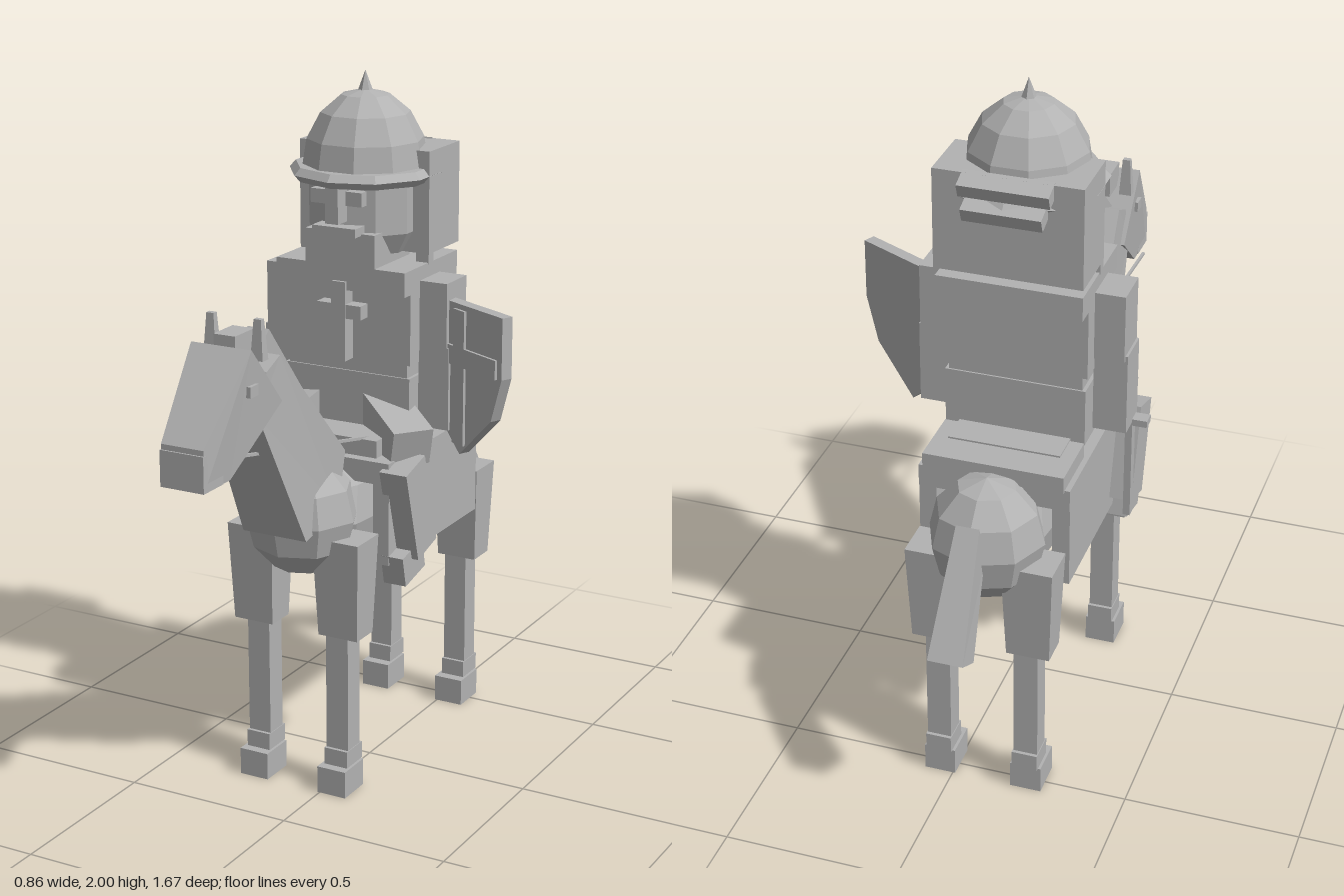
import * as THREE from 'three';

const stone = new THREE.MeshStandardMaterial({ color: 0xb2b2b2, flatShading: true });
stone.name = 'plain grey';

export function createModel() {
  const model = new THREE.Group();
  model.name = 'mountedKnight';
  // Everything is symmetric about the horse, which stands a little to the right
  const body = new THREE.Group();
  body.name = 'horseAndRider';
  body.position.x = -0.09;
  model.add(body);

  const add = (name, geo, x = 0, y = 0, z = 0, parent = body) => {
    const m = new THREE.Mesh(geo, stone);
    m.name = name;
    m.position.set(x, y, z);
    parent.add(m);
    return m;
  };
  // Box given by its limits
  const block = (name, x0, x1, y0, y1, z0, z1) =>
    add(name, new THREE.BoxGeometry(x1 - x0, y1 - y0, z1 - z0), (x0 + x1) / 2, (y0 + y1) / 2, (z0 + z1) / 2);
  const ball = (name, y, z, rx, ry, rz, seg = 8, rings = 6) =>
    add(name, new THREE.SphereGeometry(1, seg, rings).scale(rx, ry, rz), 0, y, z);
  // Box whose lower end is scaled
  const taper = (w, h, d, kx, kz) => {
    const g = new THREE.BoxGeometry(w, h, d), p = g.attributes.position;
    for (let i = 0; i < p.count; i++) if (p.getY(i) < 0) p.setXYZ(i, p.getX(i) * kx, p.getY(i), p.getZ(i) * kz);
    g.computeVertexNormals();
    return g;
  };
  // Side outline of [z, y] points, with a half width for every z and y
  const slab = (name, pts, half) => {
    const s = new THREE.Shape(pts.map(([z, y]) => new THREE.Vector2(z, y)));
    const g = new THREE.ExtrudeGeometry(s, { depth: 2, bevelEnabled: false });
    g.translate(0, 0, -1).rotateY(-Math.PI / 2);
    const p = g.attributes.position;
    for (let i = 0; i < p.count; i++) p.setX(i, p.getX(i) * half(p.getZ(i), p.getY(i)));
    g.computeVertexNormals();
    return add(name, g);
  };
  // Box or rod between two points
  const beam = (name, a, b, w, h) => {
    const A = new THREE.Vector3(...a), B = new THREE.Vector3(...b);
    const m = add(name, new THREE.BoxGeometry(w, h, A.distanceTo(B)));
    m.position.copy(A).add(B).multiplyScalar(0.5);
    m.lookAt(m.position.clone().add(B.sub(A)));
    return m;
  };

  // Horse trunk
  ball('barrel', 0.78, -0.13, 0.17, 0.2, 0.5, 10, 6);
  ball('chest', 0.81, 0.23, 0.165, 0.175, 0.155);
  ball('rump', 0.81, -0.49, 0.165, 0.18, 0.16);

  // Horse neck, mane and head
  slab('horseNeck', [[0.585, 1.2], [0.54, 1.31], [0.47, 1.34], [0.16, 0.99], [0.2, 0.83], [0.38, 0.79]],
    (z, y) => (y > 1.1 ? 0.078 : 0.1));
  slab('mane', [[0.45, 1.4], [0.55, 1.31], [0.24, 0.95], [0.16, 1.05]], () => 0.033);
  slab('horseHead', [[0.635, 1.395], [0.485, 1.22], [0.705, 1.06], [0.83, 1.06], [0.83, 1.175]],
    z => (z > 0.66 ? 0.064 : 0.092));
  block('muzzle', -0.066, 0.066, 1.06, 1.16, 0.74, 0.835);
  block('forelock', -0.033, 0.033, 1.35, 1.42, 0.525, 0.62);

  // Tail flares towards its end
  slab('tail', [[-0.645, 0.93], [-0.61, 0.8], [-0.75, 0.575], [-0.835, 0.62]], z => (z < -0.7 ? 0.05 : 0.033));

  // Saddle
  block('saddleTop', -0.215, 0.215, 0.89, 0.955, -0.435, 0.12);
  block('saddleSeat', -0.16, 0.16, 0.955, 1.005, -0.35, 0.09);
  block('saddleBack', -0.2, 0.2, 0.95, 1.0, -0.445, -0.26);

  for (const s of [-1, 1]) {
    // Horse head details
    block('horseEye', s * 0.084 - 0.012, s * 0.084 + 0.012, 1.27, 1.3, 0.61, 0.65);
    add('horseEar', taper(0.022, 0.11, 0.016, 1.7, 1.8), s * 0.072, 1.405, 0.565);
    beam('rein', [s * 0.055, 1.1, 0.68], [s * 0.07, 1.0, 0.05], 0.008, 0.008);

    // Horse legs
    for (const [end, z, toe] of [['front', 0.228, 0.245], ['hind', -0.51, -0.49]]) {
      add(end + 'Thigh', taper(0.145, 0.29, 0.12, 0.85, 0.76), s * 0.137, 0.62, z);
      add(end + 'Cannon', new THREE.BoxGeometry(0.07, 0.4, 0.068), s * 0.128, 0.28, z);
      add(end + 'Fetlock', new THREE.BoxGeometry(0.074, 0.05, 0.088), s * 0.128, 0.105, z);
      add(end + 'Hoof', new THREE.BoxGeometry(0.09, 0.08, 0.108), s * 0.128, 0.04, toe);
    }

    // Saddle cloth
    add('saddleCloth', new THREE.BoxGeometry(0.05, 0.3, 0.55), s * 0.19, 0.803, -0.157);

    // Rider legs
    beam('riderThigh', [s * 0.08, 1.06, -0.12], [s * 0.23, 0.98, 0.07], 0.12, 0.11);
    add('riderShin', new THREE.BoxGeometry(0.085, 0.28, 0.115), s * 0.238, 0.815, 0.045).rotation.x = 0.27;
    add('riderFoot', new THREE.BoxGeometry(0.07, 0.09, 0.12), s * 0.225, 0.65, 0.05).rotation.x = 0.22;

    // Rider arms
    add('upperArm', new THREE.BoxGeometry(0.085, 0.2, 0.12), s * 0.248, 1.335, -0.14);
    add('forearm', new THREE.BoxGeometry(0.095, 0.24, 0.11), s * 0.25, 1.13, -0.135);

    // Eyes and cheeks
    block('riderEye', s * 0.055 - 0.025, s * 0.055 + 0.025, 1.65, 1.69, 0, 0.03);
    block('cheekGuard', s * 0.187 - 0.02, s * 0.187 + 0.02, 1.47, 1.6, -0.16, -0.13);
  }

  // Rider torso
  block('skirt', -0.2, 0.2, 0.99, 1.16, -0.255, -0.03);
  block('belt', -0.19, 0.19, 1.16, 1.2, -0.25, -0.035);
  block('torso', -0.205, 0.205, 1.2, 1.41, -0.255, -0.025);
  block('collar', -0.205, 0.205, 1.405, 1.475, -0.31, 0.01);
  block('chestCrossUpright', -0.022, 0.022, 1.2, 1.43, -0.03, 0.02);
  block('chestCrossBar', -0.07, 0.07, 1.325, 1.365, -0.03, 0.018);

  // Head and face
  add('head', new THREE.CylinderGeometry(0.165, 0.165, 0.16, 10).scale(1, 1, 0.9), 0, 1.64, -0.14);
  add('jaw', new THREE.CylinderGeometry(0.165, 0.13, 0.06, 10).scale(1, 1, 0.9), 0, 1.53, -0.14);
  block('neckGuard', -0.11, 0.11, 1.47, 1.57, -0.2, 0.01);
  block('noseGuard', -0.02, 0.02, 1.6, 1.72, 0, 0.055);
  block('moustache', -0.068, 0.068, 1.565, 1.59, -0.02, 0.045);

  // Hood behind the face
  block('hood', -0.207, 0.207, 1.5, 1.79, -0.315, -0.13);

  // Helmet
  add('helmetDome', new THREE.SphereGeometry(0.18, 10, 4, 0, Math.PI * 2, 0, Math.PI / 2).scale(1, 1.25, 1), 0, 1.725, -0.14);
  add('helmetBrim', new THREE.CylinderGeometry(0.2, 0.218, 0.02, 10), 0, 1.73, -0.14);
  add('helmetBrimEdge', new THREE.CylinderGeometry(0.218, 0.2, 0.02, 10), 0, 1.71, -0.14);
  add('helmetSpike', new THREE.ConeGeometry(0.022, 0.06, 6), 0, 1.97, -0.14);
  for (const [y, z, w] of [[1.765, -0.325, 0.25], [1.705, -0.34, 0.22]])
    add('neckFlange', new THREE.BoxGeometry(w, 0.04, 0.06), 0, y, z).rotation.x = -0.35;

  // Shield, angled on the left arm
  const shield = new THREE.Group();
  shield.name = 'shield';
  shield.position.set(0.345, 0, -0.085);
  shield.rotation.y = -0.455;
  body.add(shield);
  const outline = [[-0.185, 1.385], [-0.185, 1.21], [-0.14, 1.08], [0, 0.95], [0.14, 1.08], [0.185, 1.21], [0.185, 1.385]];
  const face = new THREE.Shape(outline.map(p => new THREE.Vector2(...p)));
  add('shieldBoard', new THREE.ExtrudeGeometry(face, { depth: 0.035, bevelEnabled: false }), 0, 0, -0.02, shield);
  add('shieldCrossUpright', new THREE.BoxGeometry(0.05, 0.39, 0.01), 0, 1.175, 0.018, shield);
  add('shieldCrossBar', new THREE.BoxGeometry(0.33, 0.055, 0.01), 0, 1.235, 0.018, shield);

  // Sword hanging by the right hand
  block('swordGuard', -0.34, -0.27, 1.0, 1.02, -0.13, -0.09);
  block('swordBlade', -0.297, -0.277, 0.7, 1.0, -0.125, -0.095);

  return model;
}
